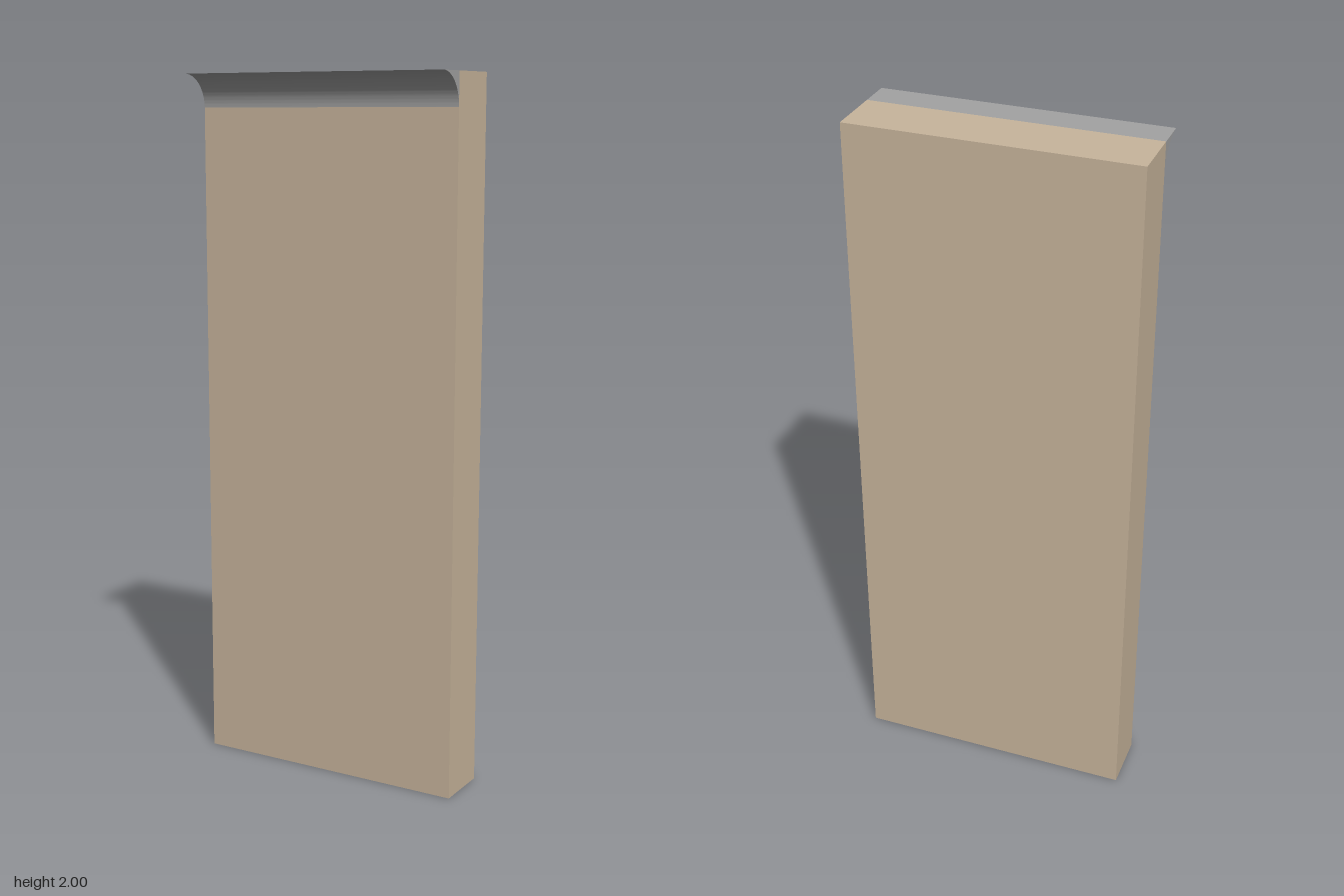
import * as THREE from 'three';
import { toCreasedNormals } from 'three/addons/utils/BufferGeometryUtils.js';

const WIDTH = 0.8, HEIGHT = 2;
const BACK = -0.128, FACE = 0.036; // z of the slab's back and front
const RADIUS = 0.092;              // radius of the hollow trim

export function createModel() {
  const group = new THREE.Group();

  // Upright slab
  const slab = new THREE.Mesh(
    new THREE.BoxGeometry(WIDTH, HEIGHT, FACE - BACK),
    new THREE.MeshStandardMaterial({ color: 0xc8b59c })
  );
  slab.name = 'slab';
  slab.position.set(0, HEIGHT / 2, (FACE + BACK) / 2);
  group.add(slab);

  // Cove trim under the top front edge: profile in (z, y), hollow quarter circle
  const profile = new THREE.Shape();
  profile.moveTo(FACE, HEIGHT);
  profile.lineTo(FACE, HEIGHT - RADIUS);
  profile.absarc(FACE + RADIUS, HEIGHT - RADIUS, RADIUS, Math.PI, Math.PI / 2, true);
  profile.closePath();
  const coveGeometry = new THREE.ExtrudeGeometry(profile, {
    depth: WIDTH, bevelEnabled: false, curveSegments: 16,
  });
  coveGeometry.translate(0, 0, -WIDTH / 2).rotateY(-Math.PI / 2);
  const cove = new THREE.Mesh(
    toCreasedNormals(coveGeometry, 0.5),
    new THREE.MeshStandardMaterial({ color: 0xa3a3a3 })
  );
  cove.name = 'coveTrim';
  group.add(cove);

  return group;
}
